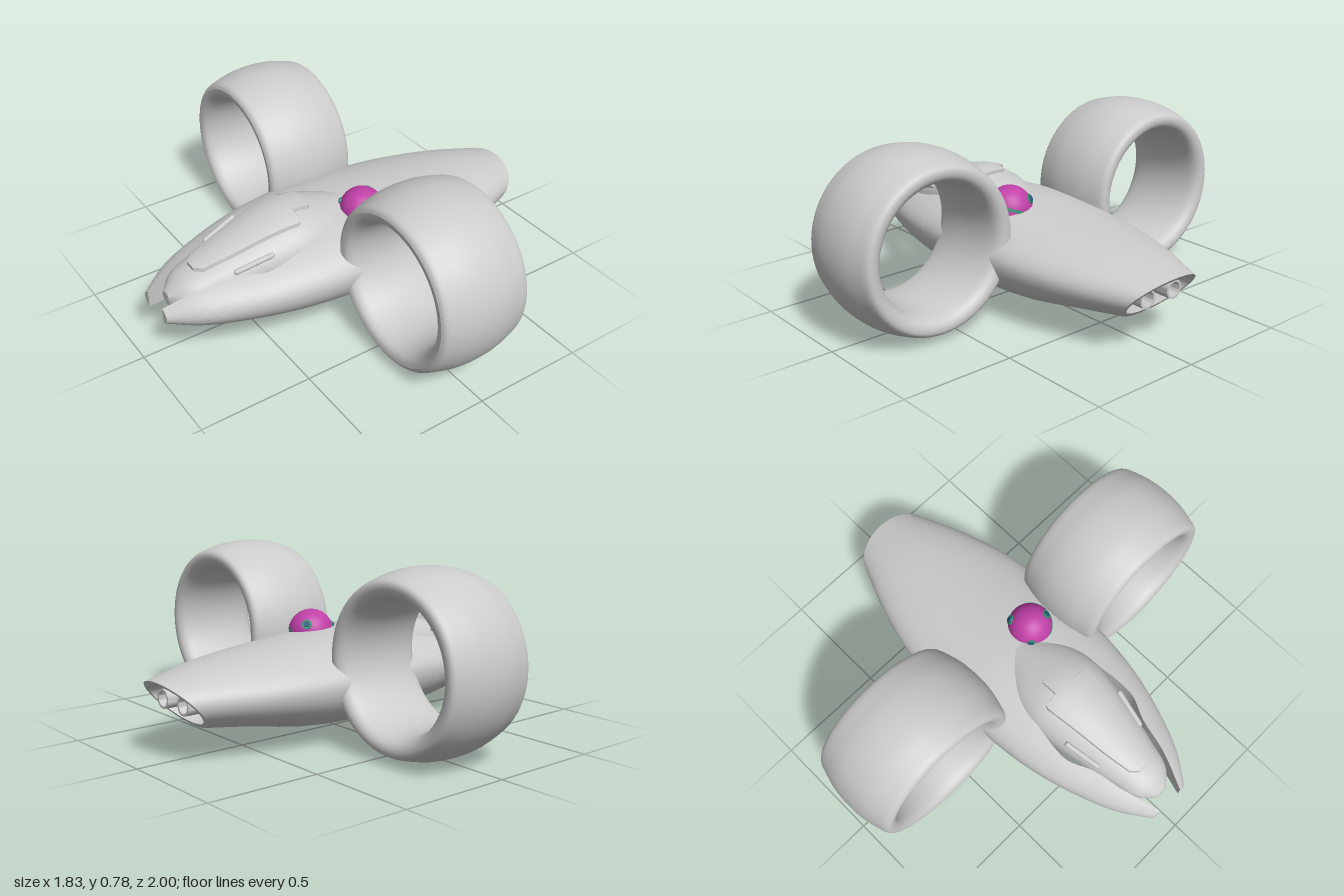
import * as THREE from 'three';
import { toCreasedNormals } from 'three/addons/utils/BufferGeometryUtils.js';

const grey = new THREE.MeshStandardMaterial({ color: 0xcccccc });
const pink = new THREE.MeshStandardMaterial({ color: 0xc040a8 });
const green = new THREE.MeshStandardMaterial({ color: 0x2f9a70 });
const blue = new THREE.MeshStandardMaterial({ color: 0x2a5f80 });

function mesh(name, geometry, material = grey) {
  const m = new THREE.Mesh(geometry, material);
  m.name = name;
  return m;
}

// Smooth lookup of rows [x, ...values] along x
function table(rows, Kind = THREE.CubicInterpolant) {
  const n = rows[0].length - 1;
  const f = new Kind(new Float32Array(rows.map(r => r[0])),
    new Float32Array(rows.flatMap(r => r.slice(1))), n, new Float32Array(n));
  return x => Array.from(f.evaluate(x));
}

// Skin closed cross-sections that run towards +x, capping both ends
function loft(sections, crease = 0.7) {
  const n = sections[0].length, pos = sections.flat(2), index = [];
  for (let i = 0; i < sections.length - 1; i++) {
    for (let j = 0; j < n; j++) {
      const a = i * n + j, b = i * n + (j + 1) % n;
      index.push(a, b, a + n, b, b + n, a + n);
    }
  }
  [0, sections.length - 1].forEach((row, end) => {
    const c = pos.length / 3;
    for (let k = 0; k < 3; k++) pos.push(sections[row].reduce((s, p) => s + p[k], 0) / n);
    for (let j = 0; j < n; j++) {
      const a = row * n + j, b = row * n + (j + 1) % n;
      index.push(c, ...(end ? [a, b] : [b, a]));
    }
  });
  const g = new THREE.BufferGeometry();
  g.setAttribute('position', new THREE.Float32BufferAttribute(pos, 3));
  g.setIndex(index);
  return toCreasedNormals(g, crease);
}

const steps = (a, b, n) => Array.from({ length: n + 1 }, (_, i) => a + (b - a) * i / n);

// Rows: x, half width, top, bottom, height of widest line
const hull = table([
  [-0.92, 0.10, 0.285, 0.185, 0.235], [-0.8, 0.185, 0.345, 0.145, 0.245],
  [-0.6, 0.27, 0.385, 0.105, 0.26], [-0.4, 0.325, 0.415, 0.075, 0.27],
  [-0.2, 0.352, 0.435, 0.05, 0.275], [0, 0.36, 0.44, 0.04, 0.275],
  [0.2, 0.353, 0.425, 0.048, 0.27], [0.4, 0.325, 0.405, 0.07, 0.265],
  [0.6, 0.27, 0.38, 0.10, 0.25], [0.82, 0.185, 0.335, 0.125, 0.235],
]);
const pod = table([
  [-0.87, 0.03, 0.29, 0.235, 0.265], [-0.82, 0.085, 0.335, 0.20, 0.28],
  [-0.7, 0.125, 0.385, 0.145, 0.30], [-0.55, 0.16, 0.435, 0.095, 0.32],
  [-0.4, 0.19, 0.48, 0.062, 0.34], [-0.27, 0.20, 0.50, 0.044, 0.36],
  [-0.15, 0.18, 0.48, 0.04, 0.36], [0, 0.11, 0.44, 0.05, 0.35],
]);

// Point on an egg-shaped section; angle 0 is the top
function around(shape, x, a) {
  const [w, top, bottom, side] = shape(x), c = Math.cos(a);
  return [x, side + c * (c > 0 ? top - side : side - bottom), w * Math.sin(a)];
}
const oval = (shape, x, n = 56) =>
  steps(0, 2 * Math.PI, n).slice(0, n).map(a => around(shape, x, a));

// Main hull, sheared to a slanted tail with a recessed exhaust
function mainHull() {
  const sections = steps(-0.3, 0.82, 36).map(x => oval(hull, x).map(([px, y, z]) =>
    [px + 0.88 * Math.max(0, (x - 0.3) / 0.52) * (y - 0.235), y, z]));
  const rim = sections[sections.length - 1];
  const inner = rim.map(([x, y, z]) => [0.82 + (x - 0.82) * 0.84, 0.232 + (y - 0.232) * 0.84, z * 0.88]);
  sections.push(inner, inner.map(([x, y, z]) => [x - 0.16, y, z * 0.95]));
  return mesh('mainHull', loft(sections));
}

// Front prong: the hull's side, cut off along the cockpit slot
const slot = table([[-0.92, 0.065], [-0.75, 0.125], [-0.6, 0.16], [-0.5, 0.205], [-0.42, 0.207], [-0.3, 0.19]]);
function prong(side) {
  const sections = steps(-0.92, -0.3, 28).map(x => {
    const a = Math.asin(slot(x)[0] / hull(x)[0]);
    const pts = steps(a, Math.PI - a, 24).map(t => around(hull, x, t)).map(([px, y, z]) => [px, y, z * side]);
    return side > 0 ? pts : pts.reverse();
  });
  return mesh('frontProng', loft(sections));
}

// Raised canopy plate following the top of the pod
function canopy() {
  const width = table([[-0.75, 0.03], [-0.72, 0.06], [-0.6, 0.085], [-0.3, 0.13], [-0.285, 0.125],
    [-0.28, 0.065], [-0.205, 0.065], [-0.195, 0.05]], THREE.LinearInterpolant);
  const xs = [-0.75, -0.735, -0.72, ...steps(-0.68, -0.3, 14), -0.285, -0.28, -0.24, -0.205, -0.195];
  const sections = xs.map(x => {
    const c = width(x)[0];
    const line = (lift, inset) => steps(-c + inset, c - inset, 12).map(z => {
      const [px, y] = around(pod, x, Math.asin(z / pod(x)[0]));
      return [px, y + lift, z];
    });
    return [...line(0.016, 0.004), ...line(-0.02, 0).reverse()];
  });
  return mesh('canopy', loft(sections, 0.6));
}

// Ring wing: rounded aerofoil section turned about the x axis
function ringWing(side) {
  const profile = [[0.33, -0.212], [0.352, -0.198], [0.368, -0.15], [0.384, -0.08], [0.389, 0],
    [0.384, 0.08], [0.368, 0.15], [0.352, 0.198], [0.33, 0.212], [0.3, 0.204], [0.278, 0.17],
    [0.264, 0.09], [0.26, 0], [0.264, -0.09], [0.278, -0.17], [0.3, -0.204], [0.33, -0.212]];
  const curve = new THREE.SplineCurve(profile.map(p => new THREE.Vector2(...p)));
  const m = mesh('ringWing', new THREE.LatheGeometry(curve.getPoints(64), 72));
  m.rotation.z = -Math.PI / 2;
  m.position.set(0.023, 0.39, side * 0.61);
  return m;
}

// Exhaust nozzle with a hollow end
function nozzle(side) {
  const profile = [[0.03, 0], [0.041, 0.1], [0.041, 0.18], [0.031, 0.18], [0.026, 0.1], [0, 0.1]];
  const g = new THREE.LatheGeometry(profile.map(p => new THREE.Vector2(...p)), 28);
  const m = mesh('nozzle', toCreasedNormals(g, 0.6));
  m.rotation.z = -Math.PI / 2;
  m.position.set(0.65, 0.24, side * 0.075);
  return m;
}

// Tilted helper robot sunk into the hull behind the cockpit
function helper() {
  const g = new THREE.Group();
  g.name = 'helperRobot';
  const body = mesh('robotBody', new THREE.CylinderGeometry(0.098, 0.085, 0.3, 32), pink);
  body.position.y = -0.15;
  const collar = mesh('robotCollar', new THREE.CylinderGeometry(0.101, 0.101, 0.012, 32), green);
  const dome = mesh('robotDome', new THREE.SphereGeometry(0.1, 32, 12, 0, Math.PI * 2, 0, Math.PI / 2), pink);
  g.add(body, collar, dome);
  // Lenses and patches set on the dome
  [[0.65, 0.6, -0.35, 0.022], [-0.3, 0.35, 0.8, 0.02], [-0.7, 0.5, -0.5, 0.018]].forEach(([x, y, z, r]) => {
    const dir = new THREE.Vector3(x, y, z).normalize();
    [[r, green, 0.097], [r * 0.65, blue, 0.102]].forEach(([radius, material, d]) => {
      const lens = mesh('robotLens', new THREE.CylinderGeometry(radius, radius, 0.012, 20), material);
      lens.position.copy(dir).multiplyScalar(d);
      lens.quaternion.setFromUnitVectors(new THREE.Vector3(0, 1, 0), dir);
      g.add(lens);
    });
  });
  g.position.set(0.04, 0.415, 0.11);
  g.rotation.x = -0.35;
  return g;
}

export function createModel() {
  const model = new THREE.Group();
  model.name = 'ringWingShip';
  model.add(mainHull(), canopy(), helper());
  model.add(mesh('cockpitPod', loft(steps(-0.87, 0, 36).map(x => oval(pod, x)))));
  for (const side of [1, -1]) {
    model.add(prong(side), ringWing(side), nozzle(side));
    // Slim vent on each flank of the pod
    const vent = mesh('sideVent', new THREE.CapsuleGeometry(0.012, 0.16, 4, 12).rotateZ(Math.PI / 2));
    vent.position.set(-0.53, 0.385, side * 0.148);
    vent.rotation.set(0, -0.2 * side, 0.25);
    model.add(vent);
  }
  return model;
}
